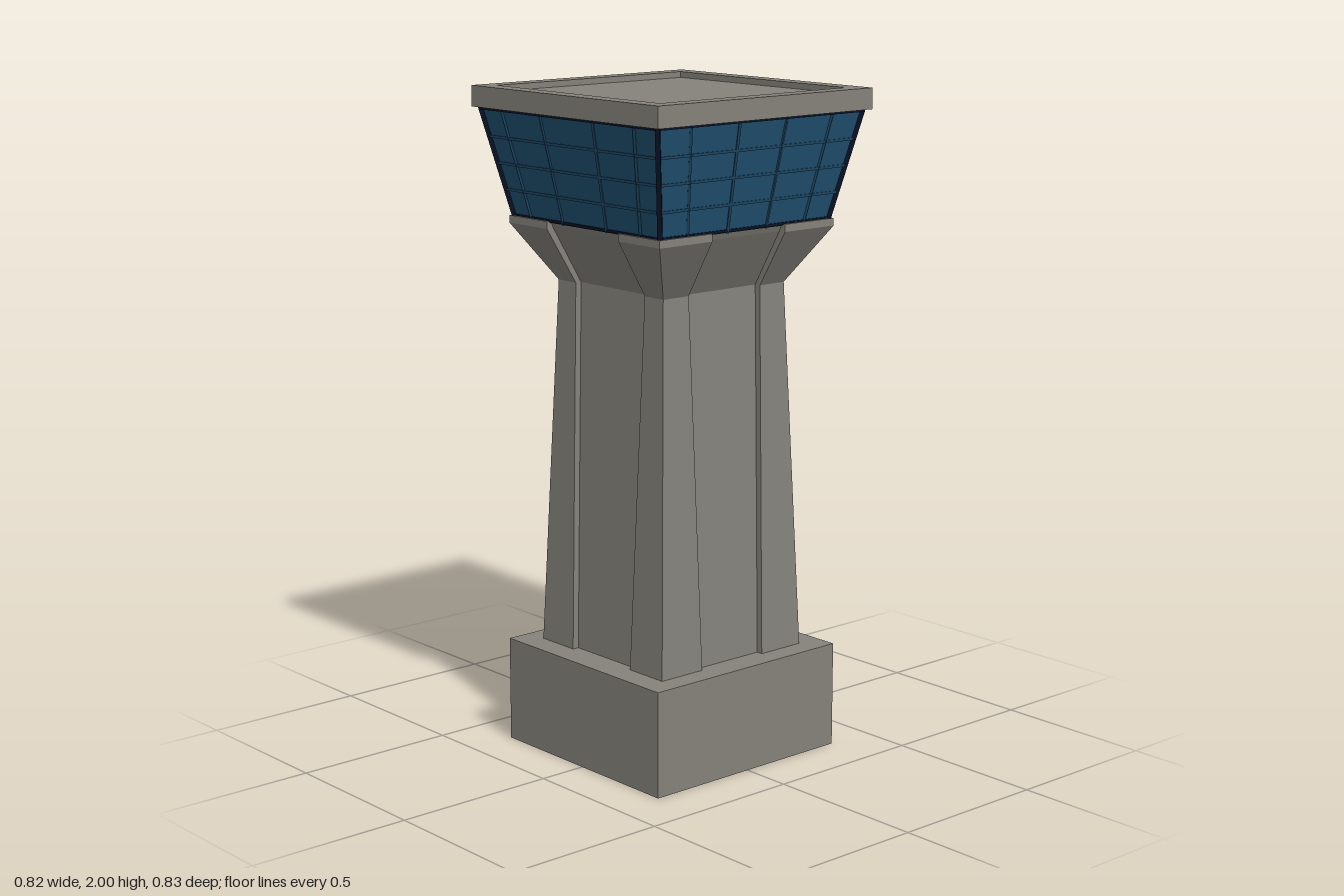
import * as THREE from 'three';

const mat = (name, color) => Object.assign(new THREE.MeshStandardMaterial({ color }), { name });

export function createModel() {
  const concrete = mat('concrete', 0x85827b);
  const glass = mat('blueGlass', 0x215273);
  const mullion = mat('mullionBlue', 0x1b4460);
  const navy = mat('navyFrame', 0x0a1226);
  const model = new THREE.Group();
  model.name = 'controlTower';

  const add = (name, geo, material, parent = model) => {
    const m = new THREE.Mesh(geo, material);
    m.name = name;
    parent.add(m);
    return m;
  };
  const box = (name, material, x0, x1, y0, y1, z0, z1) => {
    const m = add(name, new THREE.BoxGeometry(x1 - x0, y1 - y0, z1 - z0), material);
    m.position.set((x0 + x1) / 2, (y0 + y1) / 2, (z0 + z1) / 2);
    return m;
  };
  // Square bar between two points
  const bar = (name, a, b, w, material, parent) => {
    const m = new THREE.Mesh(new THREE.BoxGeometry(w, w, a.distanceTo(b)), material);
    m.name = name;
    m.position.copy(a).add(b).multiplyScalar(0.5);
    m.lookAt(b);
    parent.add(m);
  };
  // Flat-faced skin through rings of equal point count
  const loft = (rings) => {
    const pos = [];
    for (let r = 0; r + 1 < rings.length; r++) {
      const lo = rings[r], hi = rings[r + 1], n = lo.length;
      for (let i = 0; i < n; i++) {
        const j = (i + 1) % n;
        pos.push(...lo[i], ...lo[j], ...hi[j], ...lo[i], ...hi[j], ...hi[i]);
      }
    }
    const g = new THREE.BufferGeometry();
    g.setAttribute('position', new THREE.Float32BufferAttribute(pos, 3));
    g.computeVertexNormals();
    return g;
  };
  // Square ring with a shallow recess in the middle of each side
  const notchedRing = (y, h, d, nx, nz) => {
    const ring = [];
    for (let k = 0; k < 4; k++) {
      const n = k % 2 ? nx : nz;
      for (let [x, z] of [[h, h], [h, n], [h - d, n], [h - d, -n], [h, -n]]) {
        for (let t = 0; t < k; t++) [x, z] = [z, -x];
        ring.push([x, y, z]);
      }
    }
    return ring;
  };

  // Base block with a door opening on the +x side
  box('baseBlock', concrete, -0.352, 0.3, 0, 0.32, -0.345, 0.345);
  const wall = new THREE.Shape();
  [[-0.345, 0], [-0.19, 0], [-0.19, 0.23], [0.19, 0.23], [0.19, 0], [0.345, 0], [0.345, 0.32], [-0.345, 0.32]]
    .forEach(([x, y], i) => (i ? wall.lineTo(x, y) : wall.moveTo(x, y)));
  const wallGeo = new THREE.ExtrudeGeometry(wall, { depth: 0.052, bevelEnabled: false });
  wallGeo.rotateY(Math.PI / 2).translate(0.3, 0, 0);
  add('doorWall', wallGeo, concrete);

  // Glazed door with frame and dividers
  box('doorGlass', glass, 0.3, 0.305, 0.005, 0.228, -0.188, 0.188);
  for (const s of [-1, 1]) box('doorJamb', navy, 0.3, 0.312, 0, 0.23, s * 0.183 - 0.007, s * 0.183 + 0.007);
  box('doorHeader', navy, 0.3, 0.312, 0.216, 0.23, -0.19, 0.19);
  box('doorSill', navy, 0.3, 0.312, 0, 0.012, -0.19, 0.19);
  for (const z of [0.1, 0.02, -0.1]) box('doorDivider', navy, 0.3, 0.309, 0, 0.22, z - 0.004, z + 0.004);

  // Tapered shaft, flared head and rim
  add('shaft', loft([
    notchedRing(0.315, 0.276, 0.02, 0.12, 0.132),
    notchedRing(1.43, 0.235, 0.02, 0.139, 0.155),
    notchedRing(1.598, 0.337, 0.024, 0.141, 0.16),
    notchedRing(1.62, 0.337, 0.014, 0.141, 0.16),
    notchedRing(1.62, 0.2, 0, 0.14, 0.16),
  ]), concrete);

  // Cab glazing leaning outward
  const y0 = 1.615, y1 = 1.945, h0 = 0.325, h1 = 0.395;
  const square = (y, h) => [[h, y, h], [h, y, -h], [-h, y, -h], [-h, y, h]];
  add('cabGlass', loft([square(y0, h0), square(y1, h1)]), glass);

  // Mullions and corner frames, one wall at a time
  for (let k = 0; k < 4; k++) {
    const side = new THREE.Group();
    side.name = 'cabWall';
    const at = (u, t) => {
      const h = h0 + (h1 - h0) * t;
      return new THREE.Vector3(u * h, y0 + (y1 - y0) * t, h);
    };
    for (const u of k % 2 ? [-0.75, -0.3, 0.3, 0.75] : [-0.69, -0.23, 0.23, 0.69])
      bar('verticalMullion', at(u, 0), at(u, 1), 0.008, mullion, side);
    for (const t of [0.25, 0.485, 0.72])
      bar('horizontalMullion', at(-1, t), at(1, t), 0.008, mullion, side);
    bar('cornerFrame', at(1, 0), at(1, 1), 0.014, navy, side);
    bar('topFrame', at(-1, 0.975), at(1, 0.975), 0.012, navy, side);
    bar('bottomFrame', at(-1, 0.02), at(1, 0.02), 0.008, navy, side);
    side.rotation.y = k * Math.PI / 2;
    model.add(side);
  }

  // Roof slab with a raised rim
  const rect = (S, x, z) => new S([[-x, -z], [x, -z], [x, z], [-x, z]].map((p) => new THREE.Vector2(...p)));
  const rim = rect(THREE.Shape, 0.41, 0.415);
  rim.holes.push(rect(THREE.Path, 0.356, 0.36));
  const rimGeo = new THREE.ExtrudeGeometry(rim, { depth: 0.062, bevelEnabled: false });
  rimGeo.rotateX(-Math.PI / 2).translate(0, 1.938, 0);
  add('roofRim', rimGeo, concrete);
  box('roofDeck', concrete, -0.357, 0.357, 1.938, 1.982, -0.361, 0.361);

  return model;
}
